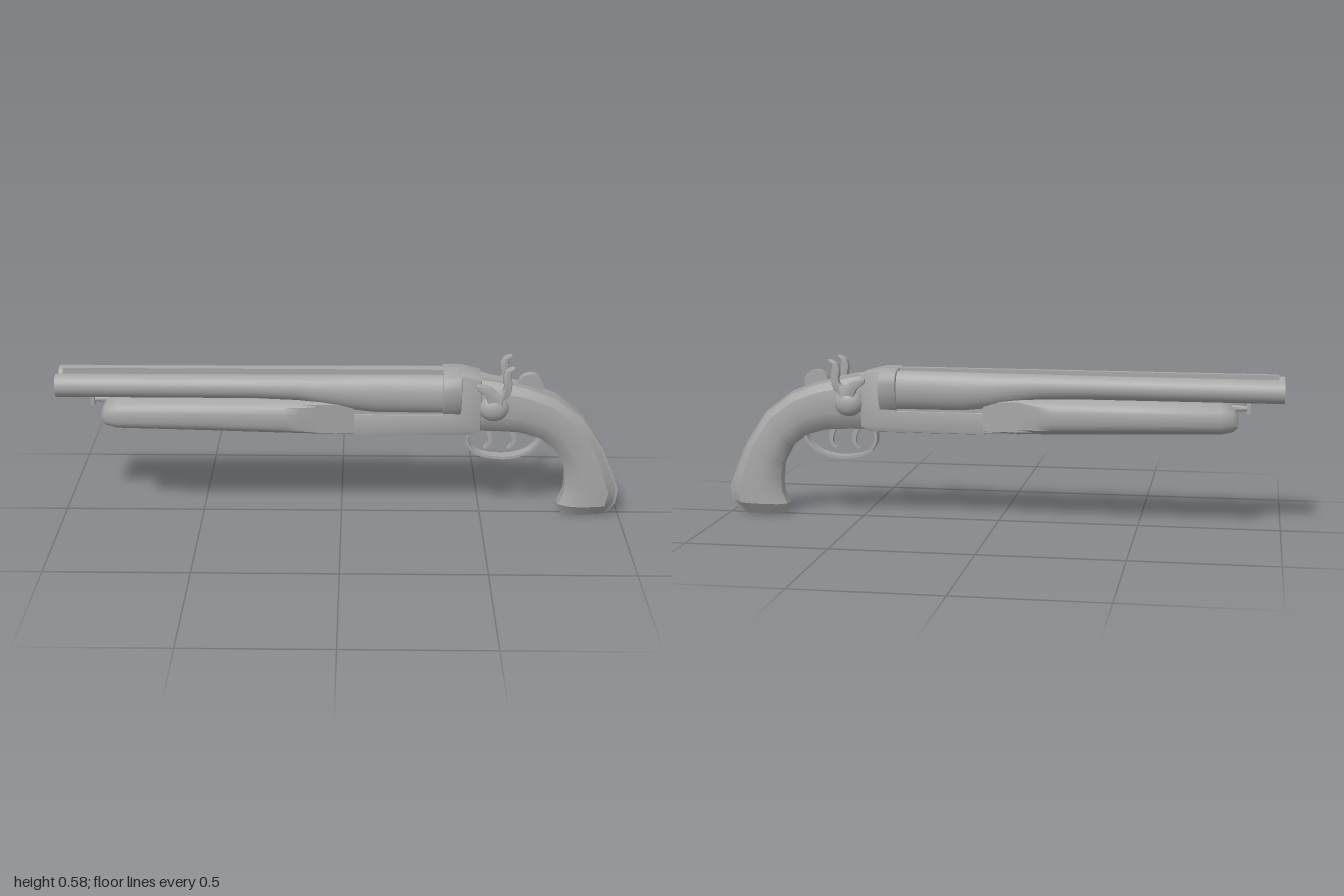
import * as THREE from 'three';
import { toCreasedNormals } from 'three/addons/utils/BufferGeometryUtils.js';

const steel = new THREE.MeshStandardMaterial({ color: 0xa6a6a6 });
steel.name = 'grey steel';

function part(name, geometry, crease = 0.7) {
  const mesh = new THREE.Mesh(toCreasedNormals(geometry, crease), steel);
  mesh.name = name;
  return mesh;
}

// Skin a list of equal-length rings of [x, y, z] points and close both ends
function loft(rings) {
  const n = rings[0].length, pos = [], idx = [];
  rings.forEach(r => r.forEach(p => pos.push(...p)));
  for (let i = 0; i < rings.length - 1; i++) {
    for (let j = 0; j < n; j++) {
      const a = i * n + j, b = i * n + (j + 1) % n;
      idx.push(a, b, a + n, b, b + n, a + n);
    }
  }
  [0, rings.length - 1].forEach((row, end) => {
    const centre = pos.length / 3;
    for (let k = 0; k < 3; k++) pos.push(rings[row].reduce((s, p) => s + p[k], 0) / n);
    for (let j = 0; j < n; j++) {
      const a = row * n + j, b = row * n + (j + 1) % n;
      if (end) idx.push(a, b, centre); else idx.push(b, a, centre);
    }
  });
  // Signed volume tells whether the faces point outward
  let volume = 0;
  const v = i => new THREE.Vector3().fromArray(pos, i * 3);
  for (let i = 0; i < idx.length; i += 3) volume += v(idx[i]).dot(v(idx[i + 1]).cross(v(idx[i + 2])));
  if (volume < 0) idx.reverse();
  const g = new THREE.BufferGeometry();
  g.setAttribute('position', new THREE.Float32BufferAttribute(pos, 3));
  g.setIndex(idx);
  return g;
}

// Flat bent bar following a curve in the xy plane
function strap(points, halfThick, halfWidth, endScale = 1, steps = 20) {
  const curve = new THREE.CatmullRomCurve3(points.map(p => new THREE.Vector3(p[0], p[1], 0)));
  const rings = [];
  for (let i = 0; i <= steps; i++) {
    const t = i / steps, p = curve.getPoint(t), d = curve.getTangent(t);
    const h = halfThick * (1 + (endScale - 1) * t);
    rings.push([[1, 1], [1, -1], [-1, -1], [-1, 1]].map(([s, w]) =>
      [p.x - d.y * h * s, p.y + d.x * h * s, w * halfWidth]));
  }
  return loft(rings);
}

function box(name, x0, x1, y0, y1, halfZ) {
  const m = part(name, new THREE.BoxGeometry(x1 - x0, y1 - y0, halfZ * 2));
  m.position.set((x0 + x1) / 2, (y0 + y1) / 2, 0);
  return m;
}

function extrude(points, depth, bevel = 0, smooth = false) {
  const pts = points.map(p => new THREE.Vector2(...p));
  const shape = new THREE.Shape();
  if (smooth) shape.moveTo(pts[0].x, pts[0].y).splineThru(pts.slice(1));
  else shape.setFromPoints(pts);
  const g = new THREE.ExtrudeGeometry(shape, {
    depth: depth - 2 * bevel, bevelEnabled: bevel > 0, bevelSize: bevel,
    bevelThickness: bevel, bevelOffset: -bevel, bevelSegments: 2, curveSegments: 4,
  });
  return g.translate(0, 0, -(depth - 2 * bevel) / 2);
}

function barrel(side) {
  // x, centre y, vertical radius, horizontal radius
  const stations = [[-1, 0.498, 0.041, 0.041], [-0.3, 0.498, 0.042, 0.041], [-0.15, 0.495, 0.046, 0.042],
    [0.04, 0.478, 0.064, 0.042], [0.12, 0.474, 0.069, 0.042], [0.37, 0.474, 0.07, 0.042]];
  return loft(stations.map(([x, y, ry, rz]) => Array.from({ length: 24 }, (_, i) => {
    const a = i / 24 * Math.PI * 2;
    return [x, y + ry * Math.sin(a), side * 0.045 + rz * Math.cos(a)];
  })));
}

function forend() {
  // x, bottom, top, half width, side cut for the flat rear tongue
  const stations = [[-0.842, 0.365, 0.415, 0.075, 1], [-0.825, 0.352, 0.437, 0.094, 1], [-0.785, 0.344, 0.457, 0.111, 1],
    [-0.5, 0.337, 0.46, 0.112, 1], [-0.2, 0.328, 0.46, 0.112, 0.112], [-0.14, 0.327, 0.46, 0.112, 0.098],
    [-0.08, 0.325, 0.46, 0.112, 0.086], [0.045, 0.322, 0.45, 0.112, 0.068]];
  const power = (c, e) => Math.sign(c) * Math.abs(c) ** e;
  return loft(stations.map(([x, b, t, w, cut]) => Array.from({ length: 32 }, (_, i) => {
    const a = i / 32 * Math.PI * 2;
    const z = w * power(Math.cos(a), 0.65);
    return [x, (b + t) / 2 + (t - b) / 2 * power(Math.sin(a), 0.7), THREE.MathUtils.clamp(z, -cut, cut)];
  })));
}

function grip() {
  // Back edge x, y, front edge x, y, half width
  const stations = [[0.46, 0.532, 0.46, 0.325, 0.052], [0.53, 0.522, 0.54, 0.325, 0.053], [0.66, 0.492, 0.63, 0.32, 0.053],
    [0.755, 0.455, 0.705, 0.298, 0.053], [0.853, 0.38, 0.76, 0.255, 0.053], [0.93, 0.262, 0.795, 0.19, 0.053],
    [0.965, 0.18, 0.802, 0.13, 0.053], [0.996, 0.1, 0.8, 0.085, 0.053], [0.988, 0.045, 0.78, 0.04, 0.053],
    [0.957, 0.003, 0.795, 0, 0.026]];
  const half = [[0, 0.42], [0.05, 0.45], [0.2, 0.92], [0.35, 1], [0.65, 1], [0.85, 0.82], [1, 0.42]];
  const section = [...half, ...half.map(([t, w]) => [t, -w]).reverse()];
  return loft(stations.map(([bx, by, fx, fy, w]) =>
    section.map(([t, s]) => [bx + (fx - bx) * t, by + (fy - by) * t, w * s])));
}

export function createModel() {
  const model = new THREE.Group();
  model.name = 'doubleBarrelGun';

  // Barrels, top rib and lug
  for (const side of [1, -1]) model.add(part(side > 0 ? 'leftBarrel' : 'rightBarrel', barrel(side)));
  model.add(box('topRib', -0.98, 0.42, 0.49, 0.551, 0.013));
  model.add(box('barrelLug', 0.04, 0.37, 0.39, 0.5, 0.058));

  // Forend and its release pin
  model.add(part('forend', forend()));
  const pin = part('pinNeck', new THREE.CylinderGeometry(0.008, 0.013, 0.06, 12).rotateZ(Math.PI / 2));
  pin.position.set(-0.85, 0.431, 0);
  model.add(pin);
  model.add(box('pinHead', -0.885, -0.872, 0.415, 0.448, 0.026));

  // Receiver and breech band
  model.add(part('receiver', extrude([[0.04, 0.323], [0.45, 0.323], [0.49, 0.34], [0.49, 0.53],
    [0.42, 0.548], [0.36, 0.54], [0.36, 0.4], [0.04, 0.4]], 0.128, 0.006)));
  const halfBand = [[0.05, 0.55], [0.08, 0.54], [0.094, 0.52], [0.098, 0.5], [0.094, 0.465], [0.084, 0.43], [0.066, 0.405]];
  const band = part('breechBand', extrude([...halfBand, ...halfBand.map(([z, y]) => [-z, y]).reverse()], 0.064, 0.004));
  band.rotation.y = Math.PI / 2;
  band.position.x = 0.388;
  model.add(band);

  // Grip with a strip down its back
  model.add(part('grip', grip(), 0.5));

  // Half-round top lever
  const lever = part('topLever', new THREE.CylinderGeometry(0.046, 0.046, 0.03, 14).rotateX(Math.PI / 2));
  lever.position.set(0.664, 0.49, 0);
  model.add(lever);

  // Paired hammers: round boss, nose and curved spur
  for (const side of [1, -1]) {
    const hammer = new THREE.Group();
    hammer.name = side > 0 ? 'leftHammer' : 'rightHammer';
    const arm = part('hammerArm', extrude([[0.515, 0.42], [0.505, 0.47], [0.476, 0.495], [0.475, 0.515], [0.515, 0.508],
      [0.548, 0.488], [0.566, 0.505], [0.562, 0.545], [0.575, 0.572], [0.603, 0.581], [0.59, 0.56], [0.594, 0.52],
      [0.588, 0.48], [0.565, 0.455], [0.57, 0.42]], 0.026, 0.005, true));
    arm.position.z = side * 0.065;
    const boss = part('hammerBoss', new THREE.SphereGeometry(1, 20, 14), 1);
    boss.scale.set(0.052, 0.047, 0.033);
    boss.position.set(0.535, 0.423, side * 0.053);
    hammer.add(arm, boss);
    model.add(hammer);
  }

  // Trigger guard and two triggers
  model.add(part('triggerGuard', strap([[0.45, 0.33], [0.447, 0.28], [0.475, 0.24], [0.54, 0.221], [0.61, 0.222],
    [0.67, 0.245], [0.705, 0.285], [0.71, 0.31]], 0.005, 0.02)));
  for (const x of [0.525, 0.61]) {
    model.add(part(x < 0.6 ? 'frontTrigger' : 'rearTrigger',
      strap([[x - 0.01, 0.335], [x + 0.004, 0.295], [x + 0.002, 0.27], [x - 0.016, 0.25]], 0.01, 0.009, 0.4, 8)));
  }
  return model;
}
